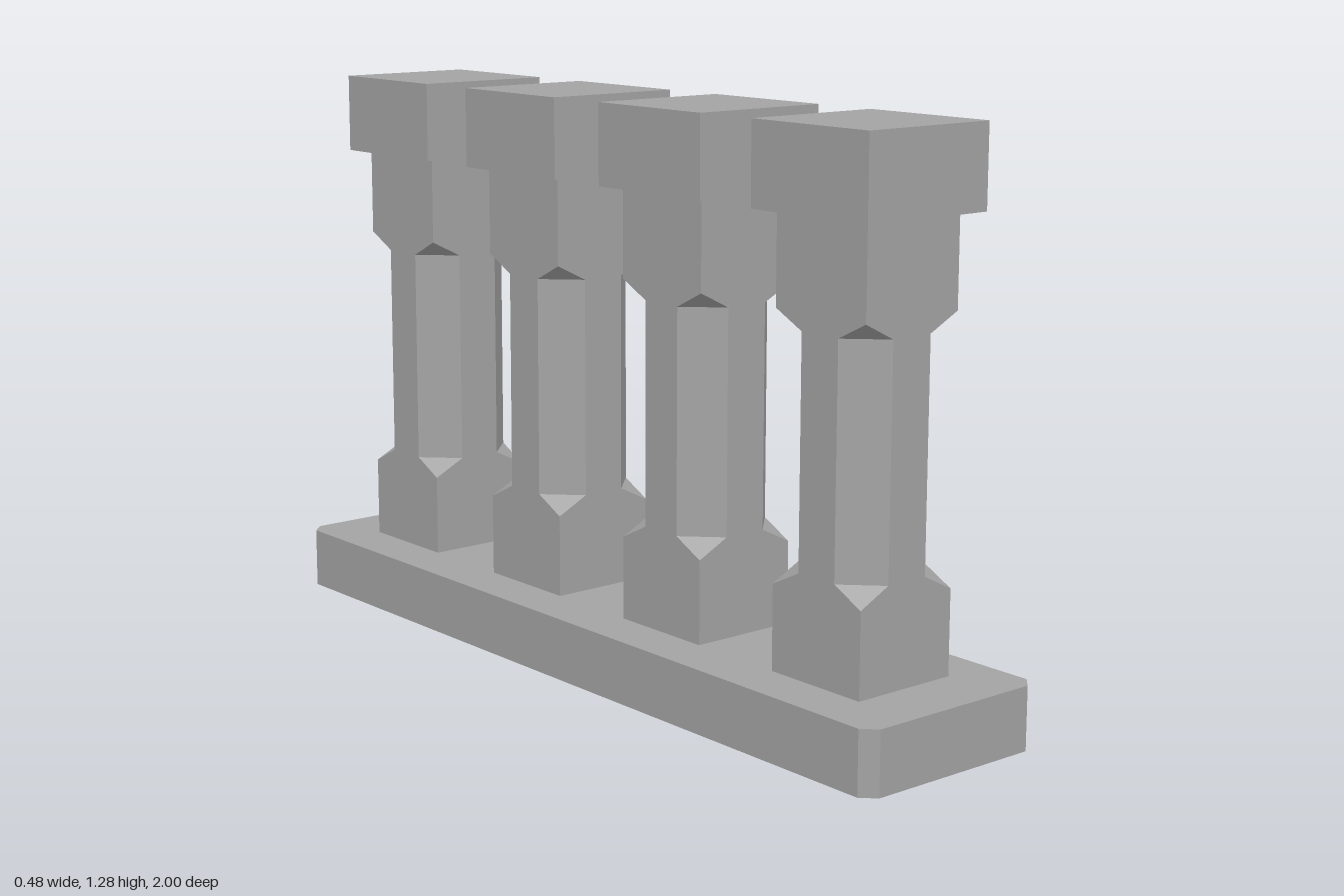
import * as THREE from 'three';
import { mergeGeometries } from 'three/addons/utils/BufferGeometryUtils.js';

function material(name, color) {
  const result = new THREE.MeshStandardMaterial({ color });
  result.name = name;
  return result;
}
const stone = material('grey stone', 0xa3a3a3);
const darkStone = material('dark underside', 0x4a4a4a);

const BASE_TOP = 0.14, SHAFT_TOP = 1.1, CAP_TOP = 1.28;

function addMesh(parent, geometry, materials, name) {
  const mesh = new THREE.Mesh(geometry, materials);
  mesh.name = name;
  parent.add(mesh);
  return mesh;
}

// Plinth: long slab with chamfered vertical corners
function plinthGeometry() {
  const x = 0.24, z = 1, c = 0.03;
  const outline = [
    [x, -z + c], [x, z - c], [x - c, z], [-x + c, z],
    [-x, z - c], [-x, -z + c], [-x + c, -z], [x - c, -z],
  ].map(([a, b]) => new THREE.Vector2(a, b));
  const geometry = new THREE.ExtrudeGeometry(new THREE.Shape(outline), { depth: BASE_TOP, bevelEnabled: false });

  // The underside comes first in the vertex order and is dark
  const underside = (outline.length - 2) * 3;
  geometry.clearGroups();
  geometry.addGroup(0, underside, 1);
  geometry.addGroup(underside, geometry.attributes.position.count - underside, 0);
  return geometry.rotateX(-Math.PI / 2);
}

// Square shaft with stopped chamfers on its four corners
function shaftGeometry() {
  const h = 0.128, c = 0.052;                 // half width, half width between chamfers
  const low = 0.327, y0 = 0.365, y1 = 0.863, high = 0.901;

  // One flat side, narrowed between the chamfers
  const edge = [[h, BASE_TOP], [h, low], [c, y0], [c, y1], [h, high], [h, SHAFT_TOP]];
  const outline = [...edge, ...edge.map(([x, y]) => [-x, y]).reverse()];
  const side = new THREE.ShapeGeometry(new THREE.Shape(outline.map(([x, y]) => new THREE.Vector2(x, y))))
    .translate(0, 0, h).toNonIndexed();

  // One corner: sloped stop, chamfer, sloped stop
  const k0 = [h, low, h], k1 = [h, high, h];
  const f0 = [c, y0, h], f1 = [c, y1, h], s0 = [h, y0, c], s1 = [h, y1, c];
  const corner = new THREE.BufferGeometry();
  corner.setAttribute('position', new THREE.Float32BufferAttribute(
    [k0, s0, f0, f0, s0, s1, f0, s1, f1, f1, s1, k1].flat(), 3));

  const parts = [];
  for (let i = 0; i < 4; i++) {
    for (const piece of [side, corner]) {
      const copy = piece.clone().rotateY(i * Math.PI / 2);
      copy.deleteAttribute('uv');
      copy.deleteAttribute('normal');
      parts.push(copy);
    }
  }
  const geometry = mergeGeometries(parts);
  geometry.computeVertexNormals();
  return geometry;
}

export function createModel() {
  const model = new THREE.Group();
  model.name = 'balustrade';
  addMesh(model, plinthGeometry(), [stone, darkStone], 'plinth');

  const shaft = shaftGeometry();
  const cap = new THREE.BoxGeometry(0.33, CAP_TOP - SHAFT_TOP, 0.33);

  // Row of four equal pillars
  for (let i = 0; i < 4; i++) {
    const pillar = new THREE.Group();
    pillar.name = 'pillar' + (i + 1);
    pillar.position.set(0.002, 0, (1.5 - i) * 0.485);
    addMesh(pillar, shaft, stone, 'shaft');
    addMesh(pillar, cap, stone, 'cap').position.y = (SHAFT_TOP + CAP_TOP) / 2;
    model.add(pillar);
  }
  return model;
}
